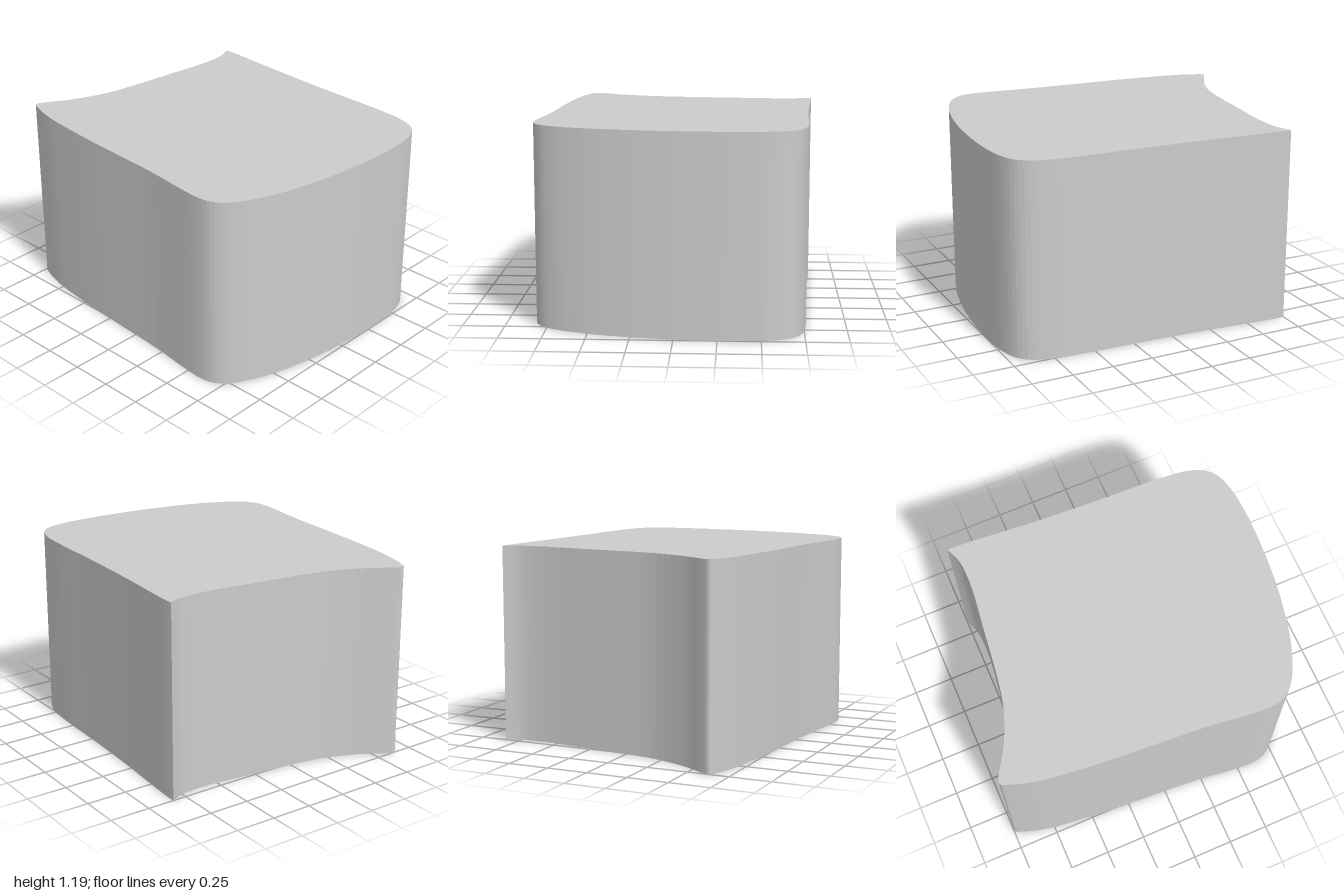
import * as THREE from 'three';

const HEIGHT = 1.19;

// Plan outline as [x, z], starting and ending at the one sharp corner (back right).
const OUTLINE = [
  [-0.75, -0.835], [-0.63, -0.833], [-0.2, -0.8], [0.2, -0.78], [0.6, -0.767], [0.8, -0.743],
  [0.92, -0.68], [0.977, -0.56], [0.998, -0.36], [0.99, -0.1], [0.962, 0.16], [0.91, 0.42],
  [0.85, 0.6], [0.78, 0.735], [0.7, 0.808], [0.6, 0.83], [0.45, 0.82], [0.2, 0.79],
  [-0.1, 0.77], [-0.4, 0.75], [-0.7, 0.718], [-0.85, 0.69], [-0.95, 0.658], [-0.998, 0.632],
  [-0.98, 0.575], [-0.89, 0.425], [-0.81, 0.22], [-0.77, 0], [-0.735, -0.3], [-0.71, -0.5],
  [-0.704, -0.65], [-0.715, -0.75], [-0.75, -0.835],
];

export function createModel() {
  const group = new THREE.Group();
  group.name = 'curvedBlock';

  // Smooth closed outline, extruded straight up.
  const curve = new THREE.SplineCurve(OUTLINE.map(([x, z]) => new THREE.Vector2(x, -z)));
  const points = curve.getPoints(128).slice(0, -1);
  const geometry = new THREE.ExtrudeGeometry(new THREE.Shape(points), {
    depth: HEIGHT, bevelEnabled: false, steps: 1,
  });
  geometry.rotateX(-Math.PI / 2);

  const body = new THREE.Mesh(geometry, new THREE.MeshStandardMaterial({ color: 0xcccccc }));
  body.name = 'body';
  group.add(body);
  return group;
}
